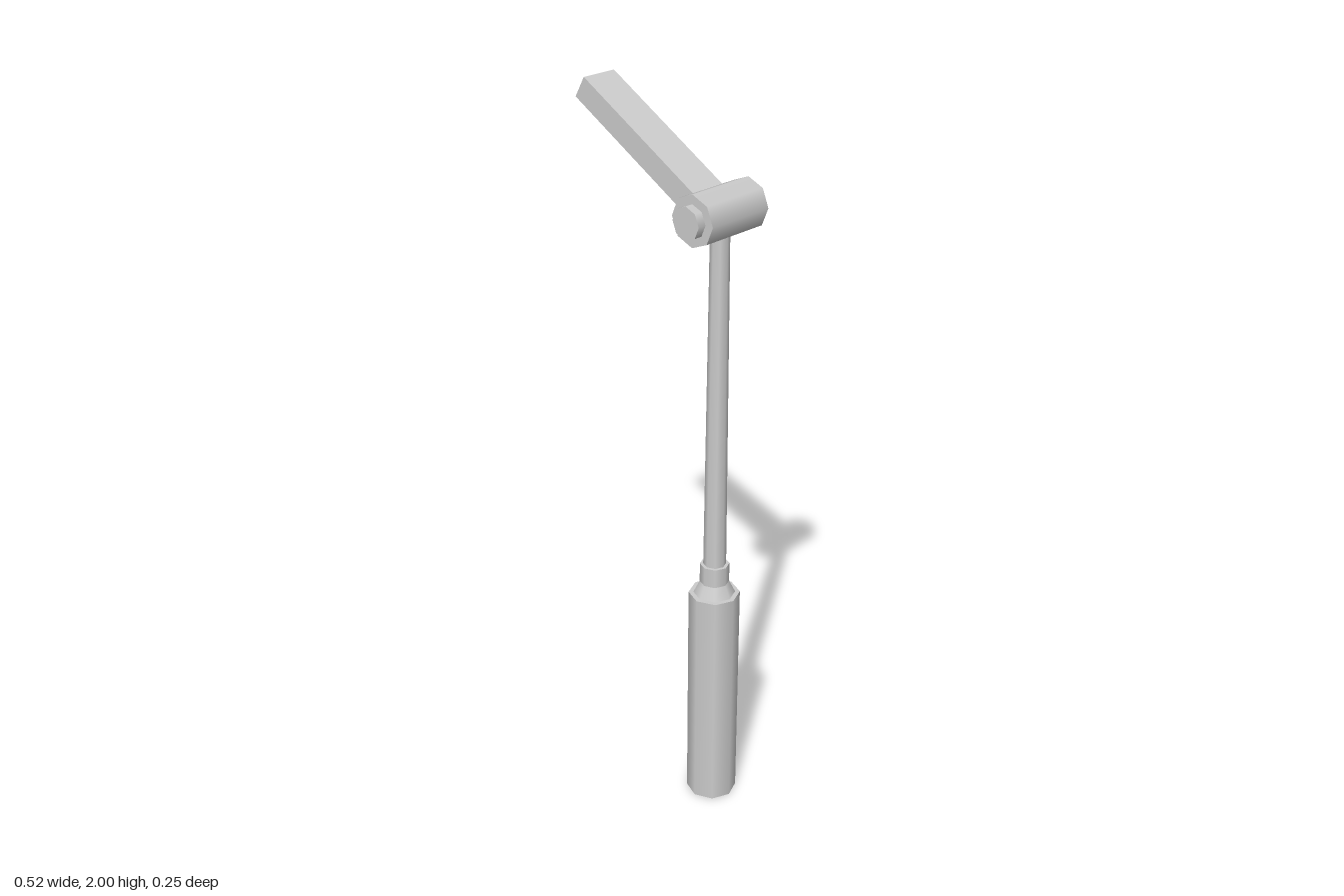
import * as THREE from 'three';

const AXIS_X = 0.188; // upright axis of handle and shaft
const HUB_Y = 1.735;
const SIDES = 8;

export function createModel() {
  const model = new THREE.Group();
  const material = new THREE.MeshStandardMaterial({ color: 0xcccccc });

  function add(name, geometry, x, y, z = 0) {
    const mesh = new THREE.Mesh(geometry, material);
    mesh.name = name;
    mesh.position.set(x, y, z);
    model.add(mesh);
    return mesh;
  }

  // Upright eight-sided section between two heights
  function section(name, bottomRadius, topRadius, y0, y1) {
    add(name, new THREE.CylinderGeometry(topRadius, bottomRadius, y1 - y0, SIDES), AXIS_X, (y0 + y1) / 2);
  }

  // Grip, collar and tapered shaft
  section('handle', 0.07, 0.07, 0, 0.655);
  section('collarCone', 0.057, 0.04, 0.655, 0.69);
  section('collar', 0.04, 0.04, 0.69, 0.745);
  section('shaft', 0.031, 0.025, 0.745, 1.69);

  // Pivot hub along z, with a pin showing at both ends
  const barrel = (radius, length) =>
    new THREE.CylinderGeometry(radius, radius, length, SIDES).rotateX(Math.PI / 2);
  add('hub', barrel(0.067, 0.2), AXIS_X, HUB_Y);
  for (const side of [1, -1]) {
    add(side > 0 ? 'frontPin' : 'backPin', barrel(0.043, 0.025), AXIS_X, HUB_Y, side * 0.111);
  }

  // Flat arm rising from the hub towards -x
  const armLength = 0.45;
  const armGeometry = new THREE.BoxGeometry(armLength, 0.063, 0.105);
  armGeometry.translate(armLength / 2, 0, 0);
  const arm = add('arm', armGeometry, -0.245, 1.973);
  arm.rotation.z = -Math.PI / 6;

  return model;
}
